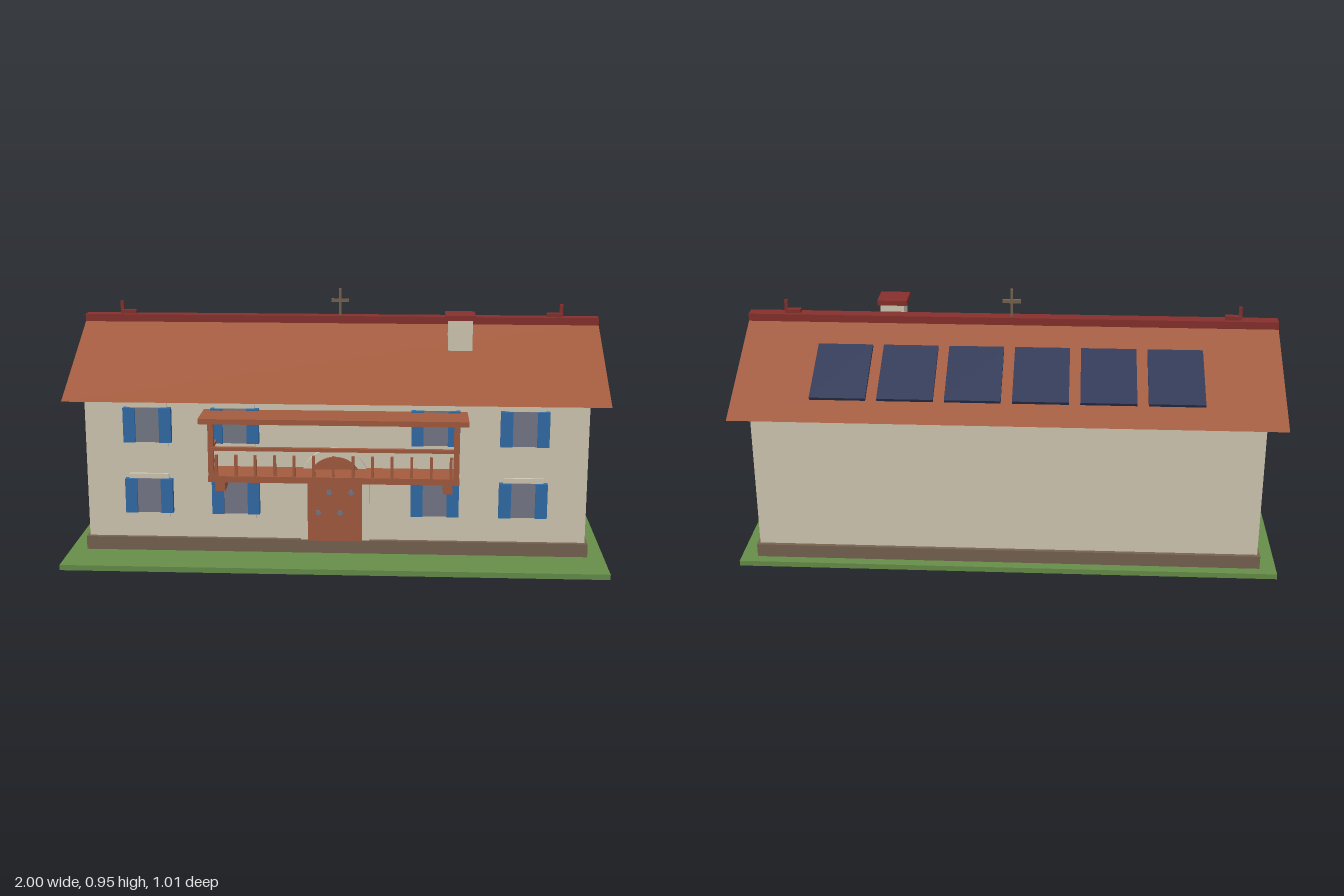
import * as THREE from 'three';

const material = (name, color) => {
  const m = new THREE.MeshStandardMaterial({ color });
  m.name = name;
  return m;
};

export function createModel() {
  const cream = material('cream plaster', 0xd3c9b4);
  const wood = material('terracotta wood', 0xa35b3e);
  const red = material('dark red tile', 0x86302c);
  const stone = material('brown stone', 0x766250);
  const grass = material('grass green', 0x668e49);
  const glass = material('grey glass', 0x757987);
  const blue = material('shutter blue', 0x316ca8);
  const navy = material('panel navy', 0x2e3756);

  const house = new THREE.Group();
  house.name = 'house';
  const group = (name, parent = house) => {
    const g = new THREE.Group();
    g.name = name;
    parent.add(g);
    return g;
  };
  const add = (name, geometry, mat, parent = house) => {
    const mesh = new THREE.Mesh(geometry, mat);
    mesh.name = name;
    parent.add(mesh);
    return mesh;
  };
  // Box given by its extents along each axis
  const box = (name, mat, [x0, x1], [y0, y1], [z0, z1], parent = house) => {
    const mesh = add(name, new THREE.BoxGeometry(x1 - x0, y1 - y0, z1 - z0), mat, parent);
    mesh.position.set((x0 + x1) / 2, (y0 + y1) / 2, (z0 + z1) / 2);
    return mesh;
  };
  const extrude = (shape, depth) =>
    new THREE.ExtrudeGeometry(shape, { depth, bevelEnabled: false, curveSegments: 16 });
  // Triangular prism running along x
  const prism = (zFront, zBack, zTop, yBase, yTop, halfLength) => {
    const shape = new THREE.Shape([
      new THREE.Vector2(-zFront, yBase),
      new THREE.Vector2(-zBack, yBase),
      new THREE.Vector2(-zTop, yTop),
    ]);
    return extrude(shape, 2 * halfLength).translate(0, 0, -halfLength).rotateY(Math.PI / 2);
  };

  // Ground, plinth and walls
  box('ground', grass, [-0.99, 0.99], [0, 0.02], [-0.48, 0.505]);
  box('plinth', stone, [-0.93, 0.93], [0.02, 0.07], [-0.442, 0.326]);
  box('walls', cream, [-0.92, 0.92], [0.07, 0.605], [-0.427, 0.309]);

  // Roof with inset gable faces and ridge
  const ridgeZ = -0.058;
  add('roof', prism(0.387, -0.505, ridgeZ, 0.6, 0.832, 0.986), wood);
  add('gables', prism(0.309, -0.427, ridgeZ, 0.61, 0.775, 0.991), cream);
  box('ridge', red, [-0.985, 0.985], [0.823, 0.851], [ridgeZ - 0.025, ridgeZ + 0.025]);
  for (const side of [-1, 1]) {
    const finial = group(side > 0 ? 'leftFinial' : 'rightFinial');
    const base = box('finialBase', red, [-0.03, 0.03], [0.85, 0.866], [-0.011, 0.011], finial);
    base.position.x = side * 0.82;
    const post = box('finialPost', red, [-0.006, 0.006], [0.85, 0.9], [-0.006, 0.006], finial);
    post.position.x = side * 0.845;
    finial.position.z = ridgeZ;
  }
  const cross = group('cross');
  box('crossPost', stone, [-0.005, 0.005], [0.85, 0.955], [-0.006, 0.006], cross);
  box('crossArm', stone, [-0.034, 0.034], [0.902, 0.915], [-0.005, 0.005], cross);
  cross.position.z = ridgeZ;

  // Chimney
  box('chimney', cream, [0.412, 0.502], [0.7, 0.862], [0.016, 0.106]);
  box('chimneyCap', red, [0.4, 0.512], [0.861, 0.88], [0.006, 0.116]);

  // Solar panels along the back slope
  const panels = group('solarPanels');
  for (let i = 0; i < 6; i++) {
    const panel = add('solarPanel', new THREE.BoxGeometry(0.2, 0.012, 0.26), navy, panels);
    panel.position.set(-0.6 + i * 0.24, 0.721, -0.322);
    panel.rotation.x = -0.467;
  }

  // Windows face +z, origin at the wall surface
  const windowUnit = (parent, shutters) => {
    const g = group('window', parent);
    box('windowFrame', cream, [-0.073, 0.073], [-0.083, 0.083], [-0.005, 0.01], g);
    box('windowPane', glass, [-0.051, 0.051], [-0.065, 0.065], [0.008, 0.014], g);
    if (shutters) {
      for (const s of [-1, 1]) {
        box('shutter', blue, [-0.022, 0.022], [-0.065, 0.065], [0, 0.023], g).position.x = s * 0.066;
      }
    }
    return g;
  };
  const frontWindows = group('frontWindows');
  const sideWindows = group('sideWindows');
  for (const y of [0.232, 0.501]) {
    for (const x of [-0.688, -0.366, 0.366, 0.688]) {
      windowUnit(frontWindows, true).position.set(x, y, 0.309);
    }
    for (const side of [-1, 1]) {
      for (const z of [0.126, -0.241]) {
        const w = windowUnit(sideWindows, false);
        w.position.set(side * 0.92, y, z);
        w.rotation.y = side * Math.PI / 2;
      }
    }
  }
  for (const side of [-1, 1]) {
    const pane = box('gableWindow', glass, [-0.005, 0.005], [0.631, 0.71], [-0.097, -0.017]);
    pane.position.x = side * 0.995;
  }

  // Arched door and surround
  const arch = (halfWidth, spring) => {
    const s = new THREE.Shape();
    s.moveTo(-halfWidth, 0.07);
    s.lineTo(halfWidth, 0.07);
    s.lineTo(halfWidth, spring);
    s.absarc(0, spring, halfWidth, 0, Math.PI, false);
    s.closePath();
    return s;
  };
  const door = group('door');
  add('doorSurround', extrude(arch(0.126, 0.295), 0.022), cream, door).position.z = 0.303;
  add('doorLeaf', extrude(arch(0.1, 0.291), 0.027), wood, door).position.z = 0.308;
  for (const [x, y] of [[-0.02, 0.258], [0.06, 0.258], [-0.06, 0.18], [0.02, 0.18]]) {
    const stud = add('doorStud', new THREE.CylinderGeometry(0.01, 0.01, 0.006, 12), glass, door);
    stud.rotation.x = Math.PI / 2;
    stud.position.set(x, y, 0.336);
  }

  // Balcony with brackets, posts, railing and canopy
  const balcony = group('balcony');
  box('balconyFloor', wood, [-0.45, 0.45], [0.322, 0.345], [0.305, 0.442], balcony);
  box('canopy', wood, [-0.48, 0.48], [0.541, 0.56], [0.305, 0.461], balcony);
  box('frontRail', wood, [-0.45, 0.45], [0.439, 0.452], [0.427, 0.442], balcony);
  for (const s of [-1, 1]) {
    box('bracket', wood, [-0.017, 0.017], [0.28, 0.324], [0.305, 0.411], balcony).position.x = s * 0.411;
    box('balconyPost', wood, [-0.01, 0.01], [0.34, 0.545], [0.422, 0.441], balcony).position.x = s * 0.439;
    box('sideRail', wood, [-0.006, 0.006], [0.44, 0.451], [0.305, 0.435], balcony).position.x = s * 0.439;
  }
  for (let i = 0; i < 13; i++) {
    const x = -0.42 + i * 0.07;
    box('baluster', wood, [x - 0.005, x + 0.005], [0.34, 0.422], [0.427, 0.439], balcony);
  }
  return house;
}
